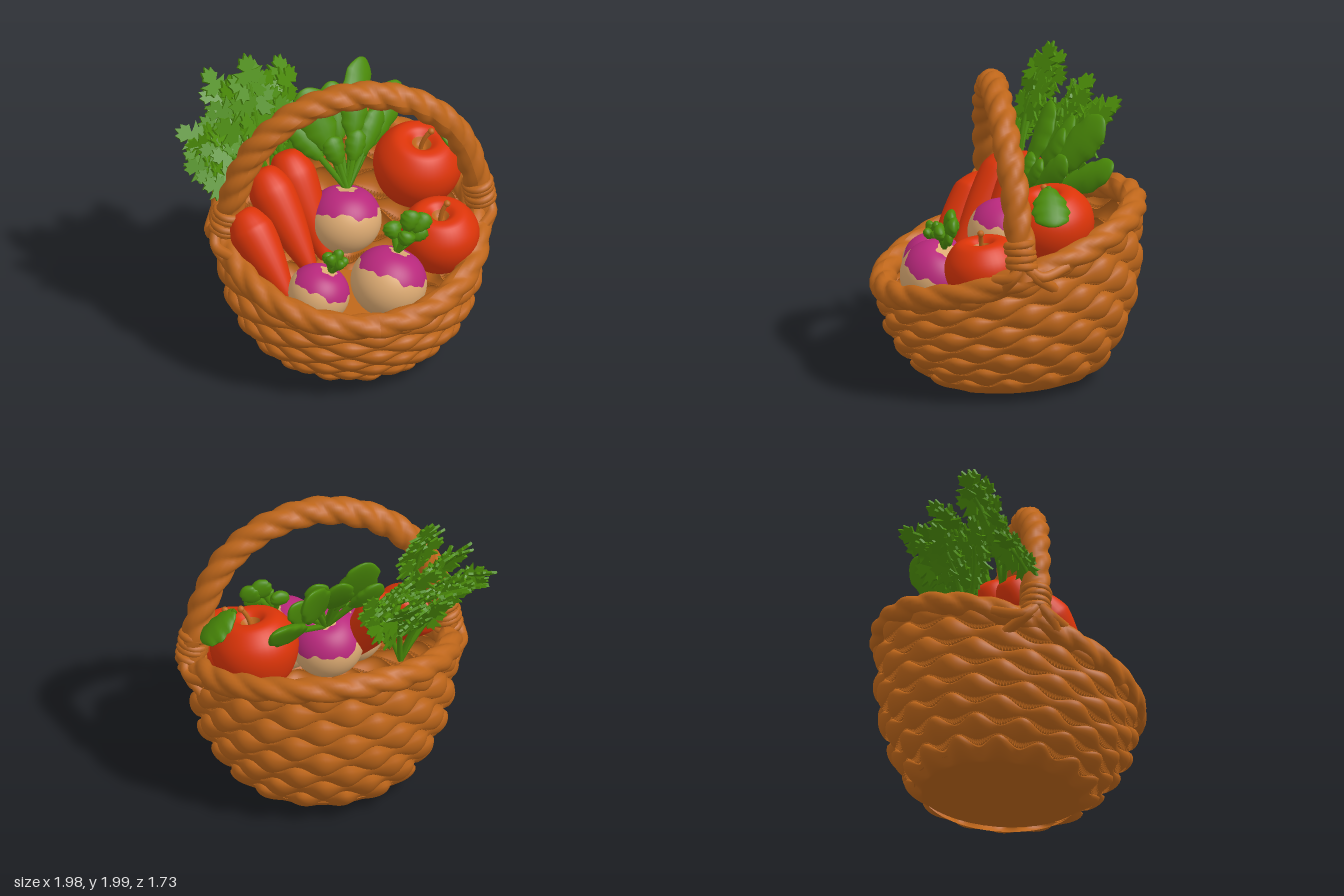
import * as THREE from 'three';
import { ParametricGeometry } from 'three/addons/geometries/ParametricGeometry.js';

const V = (x, y, z) => new THREE.Vector3(x, y, z);
const vec = (a) => V(a[0], a[1], a[2]);
const mat = (name, color, side = THREE.FrontSide) => {
  const m = new THREE.MeshStandardMaterial({ color, side });
  m.name = name;
  return m;
};

export function createModel() {
  const wicker = mat('wicker', 0xbe661a, THREE.DoubleSide);
  const red = mat('red', 0xdb3408);
  const green = mat('green', 0x4a8a08, THREE.DoubleSide);
  const cream = mat('cream', 0xdcaa72);
  const purple = mat('purple', 0xb8287c);

  const model = new THREE.Group();
  const add = (name, geo, material, parent = model) => {
    const m = new THREE.Mesh(geo, material);
    m.name = name;
    parent.add(m);
    return m;
  };
  const group = (name) => {
    const g = new THREE.Group();
    g.name = name;
    model.add(g);
    return g;
  };
  // Point an object's +y along dir, with its +z as near as possible to normal
  const aim = (obj, dir, normal = V(0.1, 0.4, 0.9)) => {
    const y = dir.clone().normalize();
    const x = y.clone().cross(normal).normalize();
    obj.quaternion.setFromRotationMatrix(new THREE.Matrix4().makeBasis(x, y, x.clone().cross(y)));
    return obj;
  };
  let seed = 7;
  const rand = () => (seed = (seed * 16807) % 2147483647) / 2147483647;

  // ---- Basket: leaning bowl whose rim rises toward the back ----
  const CX = 0.06, ROWS = 8, WAVES = 14;
  const bowlPoint = (a, t, out, target) => {
    const r = 0.47 + 0.3 * (1 - Math.pow(1 - t, 2.8)) + out;
    const low = 0.035 - 0.035 * Math.cos(a), high = 0.87 - 0.26 * Math.cos(a);
    return target.set(CX + r * 1.02 * Math.sin(a), low + (high - low) * t, -0.05 * (1 - t) + r * Math.cos(a));
  };
  // Over-and-under rows, each swelling where it passes in front
  const weave = (u, v, target) => {
    const a = u * Math.PI * 2, s = v * ROWS;
    const over = (k) => Math.cos(WAVES * a + Math.PI * k);
    const edge = (k) => (k <= 0 || k >= ROWS ? k : k - 0.27 * over(k));
    const k = Math.min(ROWS - 1, Math.max(0, Math.floor(s)));
    const f = s - k;
    const t = edge(k) + (edge(k + 1) - edge(k)) * f;
    const bulge = Math.sqrt(Math.max(0, 1 - (2 * f - 1) ** 2));
    bowlPoint(a, t / ROWS, 0.012 + (0.03 + 0.026 * over(k)) * bulge, target);
  };
  add('basketWall', new ParametricGeometry(weave, 252, ROWS * 8), wicker);
  const floor = add('basketFloor', new THREE.CircleGeometry(0.54, 40).rotateX(-Math.PI / 2 + 0.07), wicker);
  floor.position.set(CX, 0.09, -0.05);

  // Tube with twisted strands
  const rope = (path, segs, radius, turns, closed, lobes = 3, radial = 18) => {
    const g = new THREE.TubeGeometry(path, segs, radius, radial, closed);
    const p = g.attributes.position, n = g.attributes.normal;
    for (let i = 0; i < p.count; i++) {
      const along = Math.floor(i / (radial + 1)) / segs, A = ((i % (radial + 1)) / radial) * Math.PI * 2;
      const d = radius * 0.25 * (Math.abs(Math.cos((lobes * A) / 2 + Math.PI * turns * along)) - 0.7);
      p.setXYZ(i, p.getX(i) + n.getX(i) * d, p.getY(i) + n.getY(i) * d, p.getZ(i) + n.getZ(i) * d);
    }
    g.computeVertexNormals();
    return g;
  };
  const rimPts = [];
  for (let i = 0; i < 32; i++) rimPts.push(bowlPoint((i / 32) * Math.PI * 2, 1, 0.01, V(0, 0, 0)));
  add('basketRim', rope(new THREE.CatmullRomCurve3(rimPts, true), 240, 0.08, 22, true), wicker);

  // Handle arch, given as half width, height and depth
  const half = [[0.82, 0.86, 0.02], [0.79, 1.07, 0.03], [0.755, 1.23, 0.05], [0.69, 1.42, 0.06], [0.56, 1.62, 0.08], [0.32, 1.8, 0.09]];
  const arch = [
    ...half.map(([x, y, z]) => V(CX + 0.01 - x, y, z - 0.02)), V(CX + 0.01, 1.875, 0.09),
    ...half.map(([x, y, z]) => V(CX + 0.01 + x, y, z)).reverse(),
  ];
  add('handle', rope(new THREE.CatmullRomCurve3(arch), 200, 0.087, 17, false), wicker);

  // Bindings where the handle meets the rim
  for (const s of [-1, 1]) {
    const knot = group(s < 0 ? 'rightBinding' : 'leftBinding');
    for (let i = 0; i < 4; i++) {
      const ring = add('wrap', new THREE.TorusGeometry(0.076, 0.027, 8, 24).rotateX(Math.PI / 2), wicker, knot);
      ring.position.set(CX + 0.01 + s * (0.815 - i * 0.008), 0.95 + i * 0.045, 0.02 + i * 0.004 + s * 0.01);
      aim(ring, V(-s * 0.2, 1, i % 2 ? 0.12 : -0.08));
    }
    for (const [z, y] of [[-0.18, 0.79], [-0.26, 0.93], [0.17, 0.77], [0.2, 0.86]]) {
      const c = new THREE.CatmullRomCurve3([V(CX + s * 0.86, 0.97, 0.02), V(CX + s * 0.88, 0.89, z * 0.4 + 0.02), V(CX + s * 0.8, y, z)]);
      add('tieStrand', new THREE.TubeGeometry(c, 12, 0.035, 8), wicker, knot);
    }
  }

  // ---- Leaves ----
  const stem = (parent, from, to, r, bow = 0.03) => {
    const mid = from.clone().lerp(to, 0.5).add(V(0, bow, bow));
    const c = new THREE.QuadraticBezierCurve3(from, mid, to);
    add('stem', new THREE.TubeGeometry(c, 8, r, 6), green, parent);
    return c;
  };
  // Plump oval leaf with a gently scalloped edge and a raised centre
  const ovalLeaf = (parent, base, tip, width, start, thick = 0.035, normal) => {
    const a = base.clone().lerp(tip, start), len = a.distanceTo(tip);
    stem(parent, base, a.clone().lerp(tip, 0.2), 0.02, 0);
    const g = new THREE.SphereGeometry(1, 20, 18), p = g.attributes.position;
    for (let i = 0; i < p.count; i++) {
      const x = p.getX(i), y = p.getY(i);
      p.setXYZ(i, x * (1 + 0.08 * Math.sin(y * 12) + 0.2 * y) * width / 2, y * len / 2, p.getZ(i) * thick - 0.12 * width * x * x);
    }
    g.computeVertexNormals();
    aim(add('leaf', g, green, parent), tip.clone().sub(base), normal).position.copy(a.lerp(tip, 0.5));
  };

  // ---- Turnips: cream body, ragged purple cap, cream crown ----
  const turnip = (name, center, r, axis) => {
    const g = group(name);
    const ragged = (f) => 1.22 + 0.07 * Math.sin(4 * f) + 0.05 * Math.sin(9 * f + 1) + 0.03 * Math.sin(17 * f);
    const zone = (top, bottom) => new ParametricGeometry((u, v, target) => {
      const f = u * Math.PI * 2, b = bottom(f), a = b + (top(f) - b) * v;
      target.set(r * Math.sin(a) * Math.sin(f), r * 0.94 * Math.cos(a) - 0.1 * r * Math.exp(-a * a * 8), r * Math.sin(a) * Math.cos(f));
    }, 72, 14);
    const crown = (f) => 0.27 + 0.04 * Math.sin(5 * f);
    add('turnipBody', zone(ragged, () => Math.PI), cream, g);
    add('turnipCap', zone(crown, ragged), purple, g);
    add('turnipCrown', zone(() => 0, crown), cream, g);
    g.position.copy(vec(center));
    aim(g, vec(axis));
  };
  turnip('backTurnip', [0.02, 0.92, 0.02], 0.23, [0.12, 1, -0.25]);
  turnip('frontLeftTurnip', [0.2, 0.71, 0.46], 0.24, [0.42, 1, -0.22]);
  turnip('frontRightTurnip', [-0.24, 0.67, 0.43], 0.195, [0.42, 1, 0]);

  const greens = (name, base, leaves) => {
    const g = group(name);
    for (const [tip, w, start, thick, normal] of leaves) ovalLeaf(g, vec(base), vec(tip), w, start, thick, normal && vec(normal));
  };
  greens('backTurnipGreens', [0.05, 1.09, -0.05], [
    [[-0.17, 1.71, -0.3], 0.25, 0.38], [[0.27, 1.71, -0.57], 0.24, 0.38, 0.04, [0.6, 0.3, 0.8]],
    [[0.51, 1.47, -0.6], 0.2, 0.4, 0.04, [0.5, 0.6, 0.6]], [[0.03, 1.66, -0.42], 0.19, 0.45],
    [[-0.26, 1.5, -0.25], 0.16, 0.45], [[0.33, 1.47, -0.33], 0.17, 0.4, 0.035, [0.6, 0.4, 0.7]],
    [[-0.03, 1.42, -0.16], 0.14, 0.45], [[0.16, 1.42, -0.2], 0.13, 0.45], [[0.18, 1.62, -0.34], 0.17, 0.5],
  ]);
  greens('frontLeftTurnipGreens', [0.26, 0.91, 0.43], [
    [[0.38, 1.17, 0.4], 0.13, 0.5, 0.04], [[0.47, 1.13, 0.4], 0.12, 0.5, 0.04], [[0.24, 1.09, 0.36], 0.12, 0.4, 0.04],
    [[0.45, 1.04, 0.42], 0.1, 0.5, 0.03], [[0.33, 1.06, 0.48], 0.11, 0.4, 0.04],
  ]);
  greens('frontRightTurnipGreens', [-0.16, 0.82, 0.43], [
    [[-0.17, 0.96, 0.47], 0.07, 0.3, 0.03], [[-0.1, 0.97, 0.43], 0.07, 0.3, 0.03], [[-0.06, 0.91, 0.45], 0.06, 0.3, 0.03],
    [[-0.18, 0.94, 0.39], 0.07, 0.3, 0.03], [[-0.1, 0.92, 0.5], 0.06, 0.3, 0.03],
  ]);

  // ---- Apples ----
  const lathe = (pts, n = 40) => new THREE.LatheGeometry(new THREE.SplineCurve(pts.map(([x, y]) => new THREE.Vector2(x, y))).getPoints(40), n);
  const apple = (name, center, r, axis) => {
    const g = group(name);
    add('appleSkin', lathe([[0, -0.72], [0.3, -0.82], [0.72, -0.6], [0.97, -0.08], [0.95, 0.38], [0.68, 0.76], [0.4, 0.82], [0.22, 0.7]]).scale(r, r, r), red, g);
    add('appleHollow', lathe([[0.22, 0.7], [0.12, 0.58], [0, 0.54]].reverse(), 24).scale(r, r, r), wicker, g);
    const c = new THREE.QuadraticBezierCurve3(V(0, 0.54 * r, 0), V(0, 0.85 * r, 0), V(0.16 * r, 1.06 * r, 0));
    add('appleStem', new THREE.TubeGeometry(c, 8, 0.015, 8), wicker, g);
    const cap = add('stemEnd', new THREE.SphereGeometry(0.022, 10, 8), wicker, g);
    cap.position.set(0.16 * r, 1.06 * r, 0);
    g.position.copy(vec(center));
    aim(g, vec(axis), V(0, 0, 1));
  };
  apple('backApple', [0.53, 1.09, -0.2], 0.28, [0.12, 1, 0.18]);
  apple('frontApple', [0.58, 0.83, 0.22], 0.25, [0, 1, 0.12]);
  greens('appleLeaf', [0.65, 1.385, -0.17], [[[0.87, 1.19, -0.17], 0.23, 0, 0.035, [0.65, 0.75, 0]]]);

  // ---- Carrots: wide shoulder, tapering down into the basket ----
  const carrot = (name, top, dir, r, len) => {
    const m = add(name, lathe([[0, -len], [0.3 * r, -len * 0.97], [0.74 * r, -len * 0.6], [0.98 * r, -len * 0.26], [0.9 * r, -0.08], [0.55 * r, 0.01], [0, 0.03]], 28), red);
    m.position.copy(vec(top));
    aim(m, vec(dir).negate());
  };
  carrot('rightCarrot', [-0.64, 1.07, 0.05], [0.2, -0.4, 0.32], 0.145, 0.6);
  carrot('middleCarrot', [-0.48, 1.26, -0.1], [0.2, -0.46, 0.32], 0.145, 0.7);
  carrot('leftCarrot', [-0.31, 1.3, -0.2], [0.16, -0.5, 0.28], 0.145, 0.7);

  // Feathery carrot tops: stems with toothed leaflets
  const side = [[0.05, 0.12], [0.28, 0.03], [0.33, 0.15], [0.52, 0.2], [0.38, 0.32], [0.56, 0.5], [0.32, 0.46], [0.13, 0.46], [0.34, 0.64], [0.25, 0.71], [0.22, 0.9], [0.09, 0.82]];
  const outline = [[0, 0], ...side, [0, 1], ...side.map(([x, y]) => [-x, y]).reverse()];
  const leaflet = new THREE.ExtrudeGeometry(new THREE.Shape(outline.map(([x, y]) => new THREE.Vector2(x, y))), { depth: 0.08, bevelEnabled: false });
  const frond = (base, tip, size) => {
    const g = group('carrotFrond');
    const c = stem(g, vec(base), vec(tip), 0.018, 0.05);
    const place = (t, dir, s) => {
      const m = add('leaflet', leaflet, green, g);
      m.position.copy(c.getPoint(t));
      m.scale.setScalar(s);
      aim(m, dir, V(0.45 + 0.7 * (rand() - 0.5), 0.35 + 0.7 * (rand() - 0.5), 0.8));
    };
    for (const t of [0.48, 0.68, 0.88]) {
      for (const s of [-1, 1]) {
        const d = c.getTangent(t).add(V(s * (0.9 + 0.3 * rand()), 0.3 * (rand() - 0.5), -s * 0.45 - 0.3 * rand()));
        place(t, d, size * (0.75 + 0.3 * rand()));
      }
    }
    place(0.97, c.getTangent(1), size);
  };
  const A = [-0.64, 1.06, 0.03], B = [-0.47, 1.22, -0.14], C = [-0.32, 1.22, -0.28], low = [-0.36, 0.98, -0.36];
  const fronds = [
    [B, [-0.52, 1.81, -0.29], 0.21], [B, [-0.7, 1.72, -0.36], 0.2], [B, [-0.84, 1.46, -0.24], 0.19],
    [A, [-0.84, 1.32, -0.16], 0.18], [C, [-0.62, 1.52, -0.48], 0.21], [C, [-0.42, 1.64, -0.48], 0.21],
    [C, [-0.25, 1.58, -0.6], 0.2], [C, [-0.34, 1.48, -0.4], 0.2],
    [low, [-0.5, 1.42, -0.5], 0.22], [low, [-0.32, 1.42, -0.54], 0.21], [low, [-0.68, 1.4, -0.36], 0.21],
    [low, [-0.2, 1.4, -0.4], 0.18],
  ];
  for (const f of fronds) frond(...f);

  return model;
}
